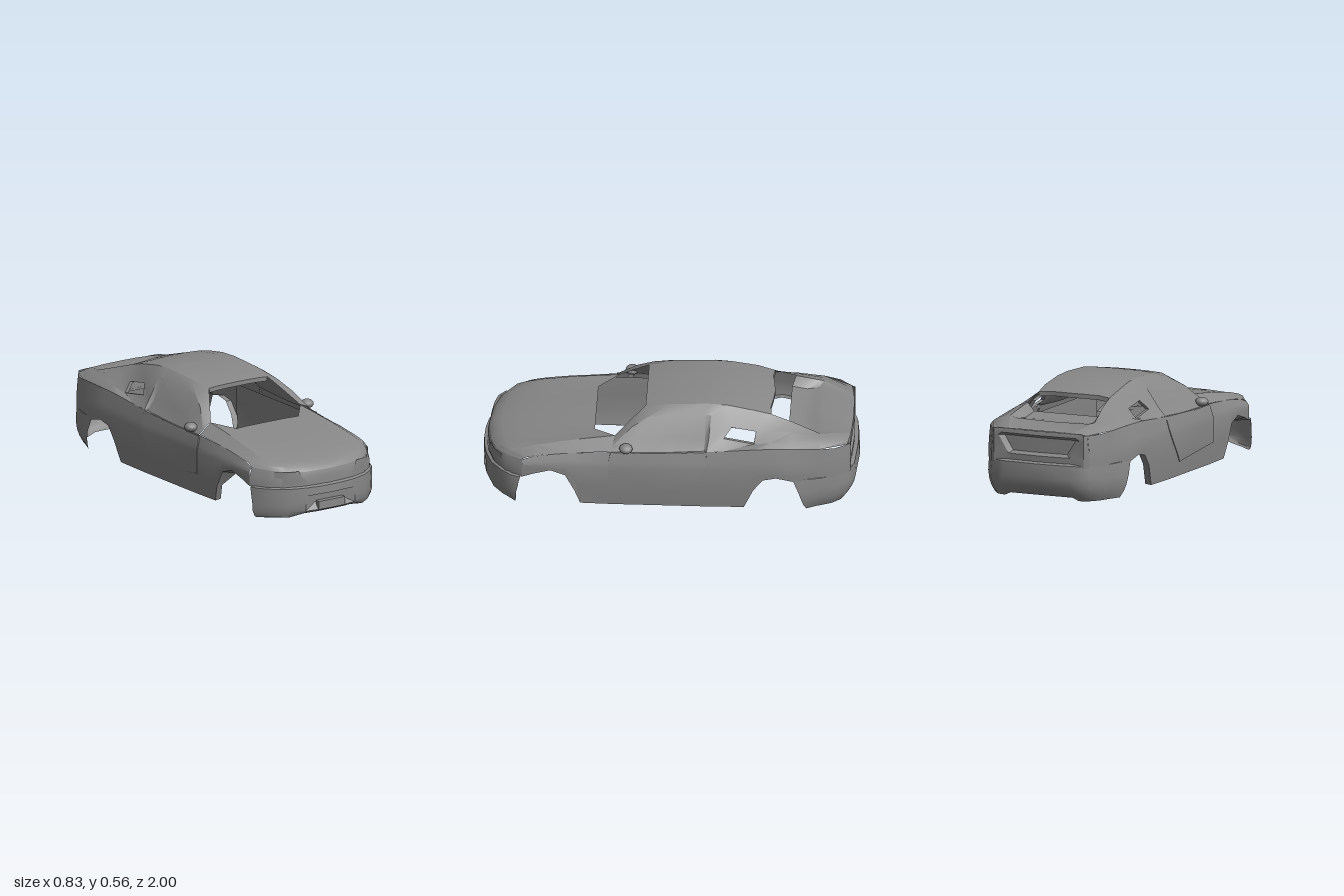
import * as THREE from 'three';
import { toCreasedNormals } from 'three/addons/utils/BufferGeometryUtils.js';

const mat = new THREE.MeshStandardMaterial({ color: 0x888888, side: THREE.DoubleSide });
const mix = (a, b, t) => a + (b - a) * t;

// Surface through rows of [x, y, z] points on the left half, mirrored to the right
function loft(name, rows, skip = () => false) {
  const pos = [];
  for (const s of [1, -1]) {
    for (let i = 0; i + 1 < rows.length; i++) {
      for (let j = 0; j + 1 < rows[i].length; j++) {
        if (skip(i, j)) continue;
        const a = rows[i][j], b = rows[i + 1][j], c = rows[i + 1][j + 1], d = rows[i][j + 1];
        const quad = s > 0 ? [a, b, c, a, c, d] : [a, c, b, a, d, c];
        for (const p of quad) pos.push(p[0] * s, p[1], p[2]);
      }
    }
  }
  const g = new THREE.BufferGeometry();
  g.setAttribute('position', new THREE.Float32BufferAttribute(pos, 3));
  const mesh = new THREE.Mesh(toCreasedNormals(g, 0.5), mat);
  mesh.name = name;
  return mesh;
}

// Lower side stations: z, bottom y, half width, top x, top y
const side = [
  [0.78, 0.17, 0.385, 0.37, 0.27], [0.72, 0.195, 0.391, 0.37, 0.292], [0.63, 0.222, 0.395, 0.37, 0.306],
  [0.55, 0.195, 0.398, 0.37, 0.316], [0.5, 0.1, 0.4, 0.37, 0.32], [0.47, 0.015, 0.4, 0.37, 0.322],
  [0.3, 0.012, 0.4, 0.375, 0.335], [0.1, 0.012, 0.4, 0.38, 0.335], [-0.2, 0.012, 0.4, 0.375, 0.35],
  [-0.4, 0.015, 0.4, 0.372, 0.366], [-0.45, 0.13, 0.4, 0.372, 0.37], [-0.5, 0.195, 0.4, 0.371, 0.373],
  [-0.57, 0.21, 0.4, 0.37, 0.375], [-0.66, 0.19, 0.397, 0.365, 0.375], [-0.8, 0.19, 0.362, 0.35, 0.37],
  [-0.88, 0.19, 0.338, 0.328, 0.365], [-0.945, 0.19, 0.29, 0.28, 0.36],
];

// Cabin side stations: belt, window bottom, window top, roof edge (glass is set in ahead of z = -0.2)
const cabin = [
  [[0.375, 0.335, 0.3], [0.35, 0.355, 0.3], [0.32, 0.375, 0.295], [0.29, 0.385, 0.29]],
  [[0.372, 0.335, 0.18], [0.335, 0.39, 0.19], [0.295, 0.445, 0.2], [0.24, 0.453, 0.21]],
  [[0.37, 0.335, 0.1], [0.325, 0.4, 0.1], [0.262, 0.493, 0.11], [0.19, 0.518, 0.13]],
  [[0.368, 0.338, 0], [0.322, 0.403, 0], [0.26, 0.508, 0], [0.208, 0.54, 0]],
  [[0.365, 0.35, -0.19], [0.32, 0.4, -0.19], [0.26, 0.512, -0.19], [0.208, 0.549, -0.2]],
  [[0.376, 0.352, -0.2], [0.338, 0.4, -0.21], [0.265, 0.512, -0.22], [0.208, 0.548, -0.22]],
  [[0.374, 0.358, -0.3], [0.32, 0.402, -0.29], [0.285, 0.452, -0.33], [0.21, 0.543, -0.31]],
  [[0.372, 0.37, -0.45], [0.325, 0.376, -0.45], [0.285, 0.43, -0.46], [0.215, 0.518, -0.45]],
  [[0.37, 0.374, -0.54], [0.34, 0.395, -0.54], [0.29, 0.435, -0.54], [0.21, 0.493, -0.54]],
  [[0.365, 0.375, -0.65], [0.33, 0.4, -0.65], [0.28, 0.43, -0.65], [0.22, 0.455, -0.65]],
  [[0.35, 0.37, -0.8], [0.32, 0.39, -0.8], [0.285, 0.402, -0.8], [0.25, 0.405, -0.8]],
  [[0.28, 0.36, -0.945], [0.25, 0.363, -0.95], [0.22, 0.367, -0.955], [0.18, 0.368, -0.96]],
];

function bodySides(car) {
  const sections = side.map(([z, yb, w, xt, yt]) => [
    [xt, yt, z], [mix(xt, w, 0.7), mix(yt, 0.25, 0.6), z], [w, 0.25, z],
    [w, mix(0.25, yb, 0.5), z], [w - (yb < 0.1 ? 0.012 : 0), yb, z],
  ]);
  car.add(loft('bodySides', sections));
  // Folded lips along the arches and sills, deepened into liners over the front wheels
  car.add(loft('lowerLips', sections.map((s) => {
    const [x, y, z] = s[4];
    return z > 0.54 ? [[x, y, z], [x - 0.09, 0.172, z]] : [[x, y, z], [x - 0.035, y + 0.004, z]];
  })));
  // Inner door panels, tied to the sill lip
  car.add(loft('innerDoorPanels', [0.47, 0.3, 0, -0.2, -0.4].map((z) =>
    [[0.353, 0.017, z], [0.37, 0.1, z], [0.36, 0.22, z], [0.36, 0.32, z]])));
  car.add(loft('beltLedges', [0, 1, 2, 3, 4, 5].map((i) => {
    const [x, y, z] = cabin[i][0];
    return [[x, y, z], [0.379, y - 0.001, z]];
  })));
  car.add(loft('cabinSides', cabin, (i, j) => i === 6 && j === 1));
  // Reveal around the rear quarter window
  const hole = [cabin[6][1], cabin[7][1], cabin[7][2], cabin[6][2], cabin[6][1]];
  car.add(loft('quarterWindowReveal', hole.map(([x, y, z]) => [[x, y, z], [x - 0.02, y - 0.003, z]])));
}

function hoodAndNose(car) {
  const front = [[0, 0.25, 0.97], [0.15, 0.25, 0.955], [0.25, 0.255, 0.92], [0.32, 0.265, 0.86], [0.37, 0.27, 0.78]];
  const rear = [[0, 0.367, 0.4], [0.12, 0.367, 0.4], [0.2, 0.364, 0.4], [0.29, 0.385, 0.29], [0.37, 0.335, 0.3]];
  const steps = [0, 0.04, 0.12, 0.27, 0.52, 0.75, 1];
  car.add(loft('hood', steps.map((t) => front.map((f, k) => {
    const r = rear[k];
    return [mix(f[0], r[0], t), mix(f[1], r[1], Math.sqrt(t)), mix(f[2], r[2], t)];
  }))));
  const level = (y) => front.map(([x, , z], k) => [x + 0.004 * k, y, z + (k < 4 ? 0.008 : 0)]);
  car.add(loft('nose', [front, level(0.22), level(0.17)]));
  // Headlamp covers sit just proud of the nose, with a swept inner edge
  const lamp = (y, xIn, zIn) => [[xIn, y, zIn], [0.252, y, 0.934], [0.302, y, 0.89]];
  car.add(loft('headlamps', [lamp(0.258, 0.185, 0.952), lamp(0.225, 0.17, 0.962), lamp(0.205, 0.145, 0.969), lamp(0.182, 0.15, 0.968)]));
}

function roofAndDeck(car) {
  const centre = [0.524, 0.547, 0.556, 0.556, 0.55, 0.532, 0.503];
  const roof = [2, 3, 4, 5, 6, 7, 8].map((c, k) => {
    const [x, y, z] = cabin[c][3];
    return [0, 0.35, 0.7, 1].map((u) => [x * u, mix(centre[k], y, u ** 3), z + (k === 6 ? 0.02 * u * u - 0.01 * (1 - u) : 0)]);
  });
  roof[6][3] = cabin[8][3];
  car.add(loft('roof', roof));
  // Headliner closes the roof edges over both screens
  const liner = roof.map((row) => row.map(([x, y, z]) => [x * 0.97, y - 0.024, z]));
  car.add(loft('headliner', [roof[0], ...liner, roof[6]]));
  // Sunken shelf, buttress inner walls and boot lid
  car.add(loft('rearDeck', [
    [[0, 0.406, -0.63], [0.19, 0.406, -0.63], [0.22, 0.455, -0.65]],
    [[0, 0.385, -0.71], [0.2, 0.385, -0.71], [0.232, 0.435, -0.71]],
    [[0, 0.385, -0.77], [0.21, 0.39, -0.77], [0.245, 0.415, -0.77]],
    [[0, 0.392, -0.8], [0.21, 0.396, -0.8], [0.25, 0.405, -0.8]],
    [[0, 0.37, -0.967], [0.1, 0.37, -0.965], [0.18, 0.368, -0.96]],
  ]));
}

// Bumper shell: plan curve swept through [y, inset, recess], with the recess in the middle
function bumper(name, plan, profile, dir, ends) {
  const n = plan.length - 1;
  return loft(name, profile.map(([y, inset, recess], r) => plan.map(([x, z], k) => {
    const depth = inset * (1 - 0.9 * k / n) + (x < 0.1 ? recess || 0 : 0);
    const lift = y < 0.02 && x < 0.21 ? 0.016 : 0;
    return [x - inset * x * 1.2, y + lift, k === n ? ends[r] : z - dir * depth];
  })));
}

function frontAndRear(car) {
  car.add(bumper('frontBumper',
    [[0, 1], [0.088, 0.995], [0.16, 0.982], [0.25, 0.95], [0.32, 0.895], [0.37, 0.84], [0.388, 0.8]],
    [[0.175, 0.025], [0.168, 0.003], [0.126, 0], [0.122, 0, 0.035], [0.075, 0.002, 0.035], [0.04, 0.005], [0.01, 0.025], [0.003, 0.05]],
    1, [0.79, 0.79, 0.8, 0.8, 0.81, 0.81, 0.815, 0.82]));
  const plan = [[0, -1], [0.2, -0.987], [0.24, -0.975], [0.29, -0.95], [0.335, -0.89], [0.37, -0.8], [0.398, -0.68]];
  car.add(bumper('rearBumper', plan,
    [[0.205, 0.035], [0.195, 0.008], [0.12, 0], [0.07, 0.012], [0.035, 0.035], [0.001, 0.07]],
    -1, [-0.66, -0.66, -0.69, -0.705, -0.715, -0.73]));
  // Tail face with a shallow sunken panel narrowing downwards: y, inset, recess, panel half width
  const face = [[0.368, 0.033, 0, 0.25], [0.345, 0.028, 0, 0.25], [0.33, 0.03, 0.02, 0.24],
    [0.25, 0.03, 0.02, 0.19], [0.235, 0.028, 0, 0.18], [0.19, 0.03, 0, 0.18]];
  car.add(loft('tailPanel', face.map(([y, inset, recess, half]) => [
    [0, y, -1 + inset + recess], [half - 0.03, y, -0.993 + inset + recess], [half, y, -0.99 + inset],
    [0.265, y - 0.004, -0.962], [0.29 - Math.max(0, y - 0.25) * 0.09, y - 0.008, -0.945],
  ])));
  const plate = new THREE.Mesh(new THREE.BoxGeometry(0.17, 0.045, 0.03), mat);
  plate.name = 'blankPlate';
  plate.position.set(0, 0.062, 0.98);
  car.add(plate);
}

function details(car) {
  // Door skins stand proud of the body: y, front z, rear z
  const skinX = (y) => 0.404 - Math.max(0, y - 0.25) * 0.18 - Math.max(0, y - 0.284) * 0.11 - Math.max(0, 0.131 - y) * 0.1;
  const skin = [[0.333, 0.31, -0.2], [0.284, 0.32, -0.2], [0.25, 0.32, -0.19], [0.131, 0.32, -0.11]].map(([y, z0, z1]) =>
    [z0, mix(z0, z1, 0.5), z1].map((z) => [skinX(y), y, z]));
  skin.push([[0.404, 0.13, 0.32], [skinX(0.11), 0.11, 0.11], [skinX(0.09), 0.09, -0.08]]);
  car.add(loft('doorSkins', skin));
  const edge = [...skin.map((r) => r[0]), ...skin[4].slice(1), ...skin.slice(0, 4).reverse().map((r) => r[2])];
  car.add(loft('doorEdges', edge.map(([x, y, z]) => [[x, y, z], [x - 0.012, y, z]])));

  // Door mirrors, each with its foot
  for (const s of [1, -1]) {
    const mirror = new THREE.Group();
    mirror.name = 'doorMirror';
    const shell = new THREE.Mesh(new THREE.SphereGeometry(1, 12, 8), mat);
    shell.name = 'mirrorShell';
    shell.scale.set(0.036, 0.025, 0.036);
    shell.position.set(s * 0.378, 0.361, 0.228);
    const foot = new THREE.Mesh(new THREE.BoxGeometry(0.035, 0.018, 0.03), mat);
    foot.name = 'mirrorFoot';
    foot.position.set(s * 0.355, 0.345, 0.235);
    mirror.add(shell, foot);
    car.add(mirror);
  }
}

export function createModel() {
  const car = new THREE.Group();
  car.name = 'coupeBodyShell';
  bodySides(car);
  hoodAndNose(car);
  roofAndDeck(car);
  frontAndRear(car);
  details(car);
  return car;
}
